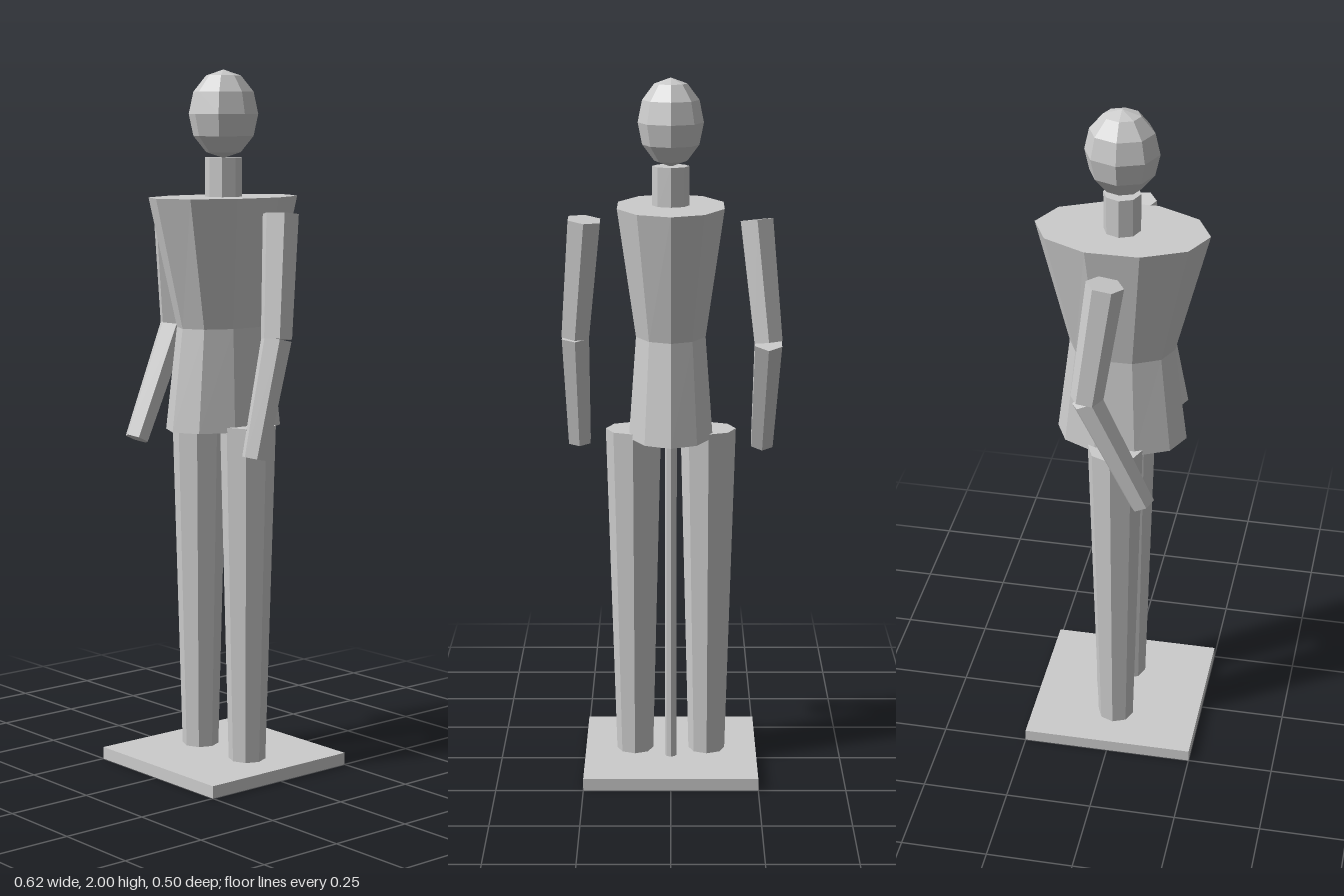
import * as THREE from 'three';

const grey = new THREE.MeshStandardMaterial({ color: 0xcccccc, flatShading: true });
grey.name = 'matte grey';

export function createModel() {
  const model = new THREE.Group();
  model.name = 'mannequin';

  const add = (name, geometry, x = 0, y = 0, z = 0) => {
    const mesh = new THREE.Mesh(geometry, grey);
    mesh.name = name;
    mesh.position.set(x, y, z);
    model.add(mesh);
    return mesh;
  };

  // Tapered prism between two points
  const limb = (name, from, to, rFrom, rTo, sides) => {
    const a = new THREE.Vector3(...from), b = new THREE.Vector3(...to);
    const axis = a.clone().sub(b);
    const mesh = add(name, new THREE.CylinderGeometry(rFrom, rTo, axis.length(), sides));
    mesh.position.copy(a).add(b).multiplyScalar(0.5);
    mesh.quaternion.setFromUnitVectors(new THREE.Vector3(0, 1, 0), axis.normalize());
  };

  // Ten-sided torso block with an oval section at each end: [y, rx, rz]
  const torsoBlock = (name, [y1, rx1, rz1], [y0, rx0, rz0]) => {
    const g = new THREE.CylinderGeometry(1, 1, y1 - y0, 10);
    const p = g.attributes.position;
    for (let i = 0; i < p.count; i++) {
      const top = p.getY(i) > 0;
      p.setX(i, p.getX(i) * (top ? rx1 : rx0));
      p.setZ(i, p.getZ(i) * (top ? rz1 : rz0));
    }
    g.computeVertexNormals();
    add(name, g, 0, (y1 + y0) / 2, 0);
  };

  // Stand
  add('basePlate', new THREE.BoxGeometry(0.5, 0.035, 0.5), 0, 0.0175, 0);
  limb('supportRod', [0, 0.98, -0.062], [0, 0.03, -0.062], 0.017, 0.017, 8);

  // Torso, neck and head
  const waist = [1.28, 0.103, 0.15];
  torsoBlock('chest', [1.645, 0.157, 0.243], waist);
  torsoBlock('pelvis', waist, [0.99, 0.125, 0.187]);
  limb('neck', [0, 1.755, 0], [0, 1.64, 0], 0.052, 0.052, 8);
  add('head', new THREE.SphereGeometry(1, 8, 6), 0, 1.876, 0).scale.set(0.092, 0.123, 0.103);

  // Legs
  for (const [side, s] of [['left', 1], ['right', -1]]) {
    limb(side + 'Leg', [s * 0.107, 1.005, 0], [s * 0.105, 0.035, 0], 0.079, 0.053, 8);
  }

  // Arms, one elbow forward and one back
  const arms = [
    ['left', [0.243, 1.605, 0], [0.272, 1.265, 0.04], [0.265, 0.94, 0.113]],
    ['right', [-0.241, 1.605, 0], [-0.275, 1.265, -0.045], [-0.265, 0.935, 0.108]],
  ];
  for (const [side, shoulder, elbow, hand] of arms) {
    limb(side + 'UpperArm', shoulder, elbow, 0.052, 0.045, 6);
    limb(side + 'Forearm', elbow, hand, 0.044, 0.036, 6);
  }

  return model;
}
